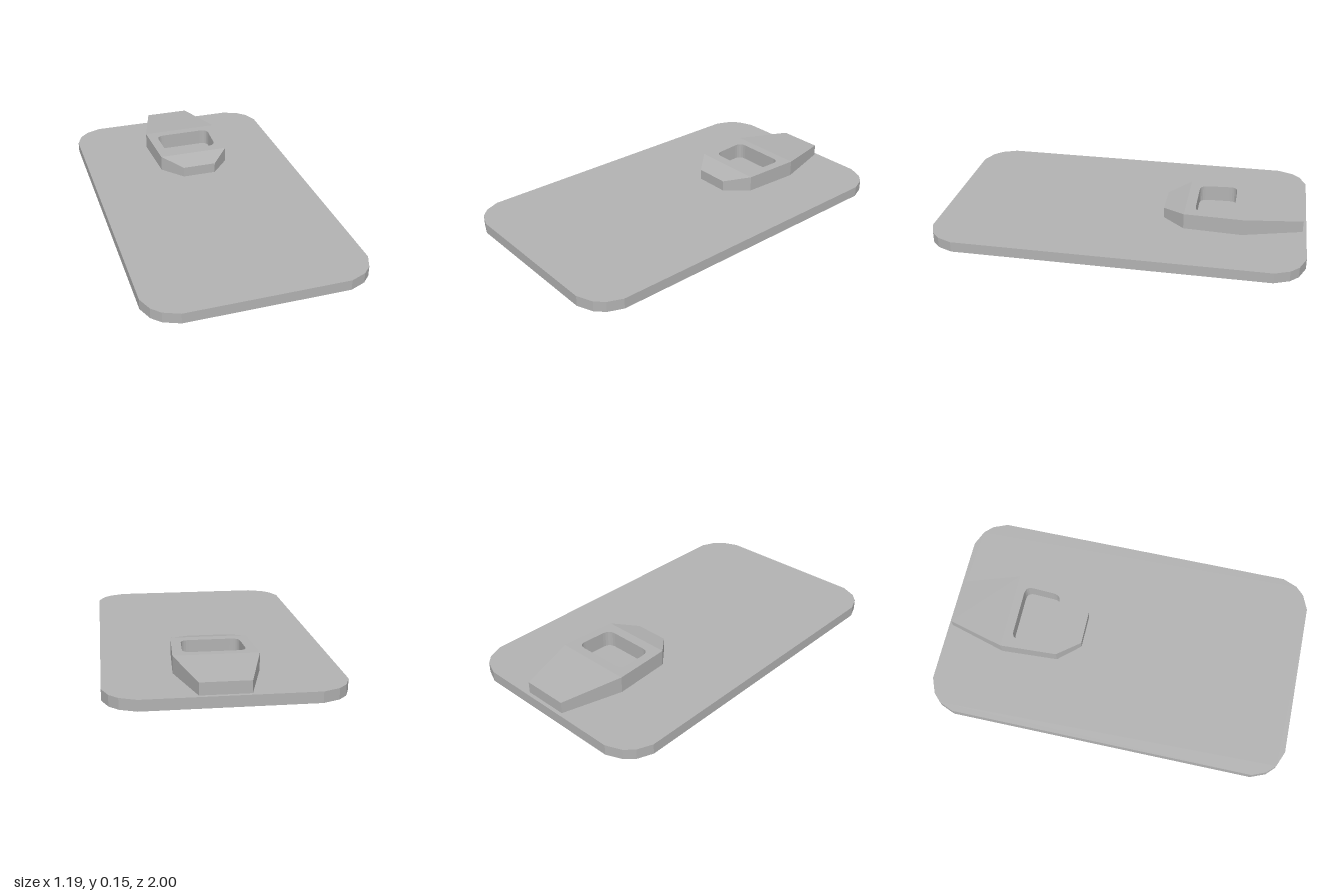
import * as THREE from 'three';

const BASE = 0.057;

// Height profile of the raised block: [distance towards the back, height]
const PROFILE = [[0.225, 0.115], [0.345, 0.143], [0.66, 0.147], [0.98, 0.12]];
// Half widths of the block at the same stations, about its own centre line
const HALF = [0.095, 0.2, 0.217, 0.125];
const CX = 0.025;

function heightAt(d) {
  let i = 0;
  while (i < PROFILE.length - 2 && d > PROFILE[i + 1][0]) i++;
  const [d0, h0] = PROFILE[i], [d1, h1] = PROFILE[i + 1];
  return h0 + (h1 - h0) * (d - d0) / (d1 - d0);
}

// Vertical walls along a closed loop, from the base up to the sloping top
function wallGeometry(loop) {
  const pos = [];
  loop.forEach((a, i) => {
    const b = loop[(i + 1) % loop.length];
    if (a.distanceTo(b) < 1e-5) return;
    const a0 = [a.x, BASE, -a.y], b0 = [b.x, BASE, -b.y];
    const a1 = [a.x, heightAt(a.y), -a.y], b1 = [b.x, heightAt(b.y), -b.y];
    pos.push(...a0, ...b0, ...b1, ...a0, ...b1, ...a1);
  });
  const g = new THREE.BufferGeometry();
  g.setAttribute('position', new THREE.Float32BufferAttribute(pos, 3));
  g.computeVertexNormals();
  return g;
}

// Flat shape lifted onto the sloping top; each cap spans one slope only
function capGeometry(shape) {
  const g = new THREE.ShapeGeometry(shape);
  g.rotateX(-Math.PI / 2);
  const p = g.attributes.position;
  for (let i = 0; i < p.count; i++) p.setY(i, heightAt(-p.getZ(i)));
  g.computeVertexNormals();
  return g;
}

// Closed polygon with rounded corners
function roundedLoop(corners, r) {
  const path = new THREE.Path(), n = corners.length;
  corners.forEach((c, i) => {
    const prev = corners[(i + n - 1) % n], next = corners[(i + 1) % n];
    const p = c.clone().add(prev.clone().sub(c).setLength(r));
    const q = c.clone().add(next.clone().sub(c).setLength(r));
    if (i === 0) path.moveTo(p.x, p.y); else path.lineTo(p.x, p.y);
    path.quadraticCurveTo(c.x, c.y, q.x, q.y);
  });
  return path.getPoints(5);
}

export function createModel() {
  const group = new THREE.Group();
  const grey = new THREE.MeshStandardMaterial({ color: 0xb2b2b2, flatShading: true });
  grey.name = 'grey';
  const add = (name, geometry, parent) => {
    const m = new THREE.Mesh(geometry, grey);
    m.name = name;
    parent.add(m);
  };
  const v = (x, y) => new THREE.Vector2(x, y);

  // Base plate with faceted corners
  const corner = [[0.593, 0.84], [0.56, 0.92], [0.515, 0.965], [0.43, 1]];
  const back = corner.slice().reverse();
  const outline = [
    ...corner.map(([x, y]) => v(x, y)),
    ...back.map(([x, y]) => v(-x, y)),
    ...corner.map(([x, y]) => v(-x, -y)),
    ...back.map(([x, y]) => v(x, -y)),
  ];
  const plate = new THREE.ExtrudeGeometry(new THREE.Shape(outline), { depth: BASE, bevelEnabled: false });
  plate.rotateX(-Math.PI / 2);
  add('basePlate', plate, group);

  // Raised block: outer walls, walls of the recess, and three sloping caps
  const block = new THREE.Group();
  block.name = 'raisedBlock';
  group.add(block);
  const right = PROFILE.map(([d], i) => v(CX + HALF[i], d));
  const left = PROFILE.map(([d], i) => v(CX - HALF[i], d));
  add('blockWalls', wallGeometry([...right, ...left.slice().reverse()]), block);

  const recess = roundedLoop([v(-0.127, 0.4), v(-0.137, 0.61), v(0.188, 0.61), v(0.178, 0.4)], 0.045);
  add('recessWalls', wallGeometry(recess), block);

  ['frontSlope', 'middleTop', 'backSlope'].forEach((name, i) => {
    const shape = new THREE.Shape([right[i], right[i + 1], left[i + 1], left[i]]);
    if (i === 1) shape.holes.push(new THREE.Path(recess));
    add(name, capGeometry(shape), block);
  });

  return group;
}
